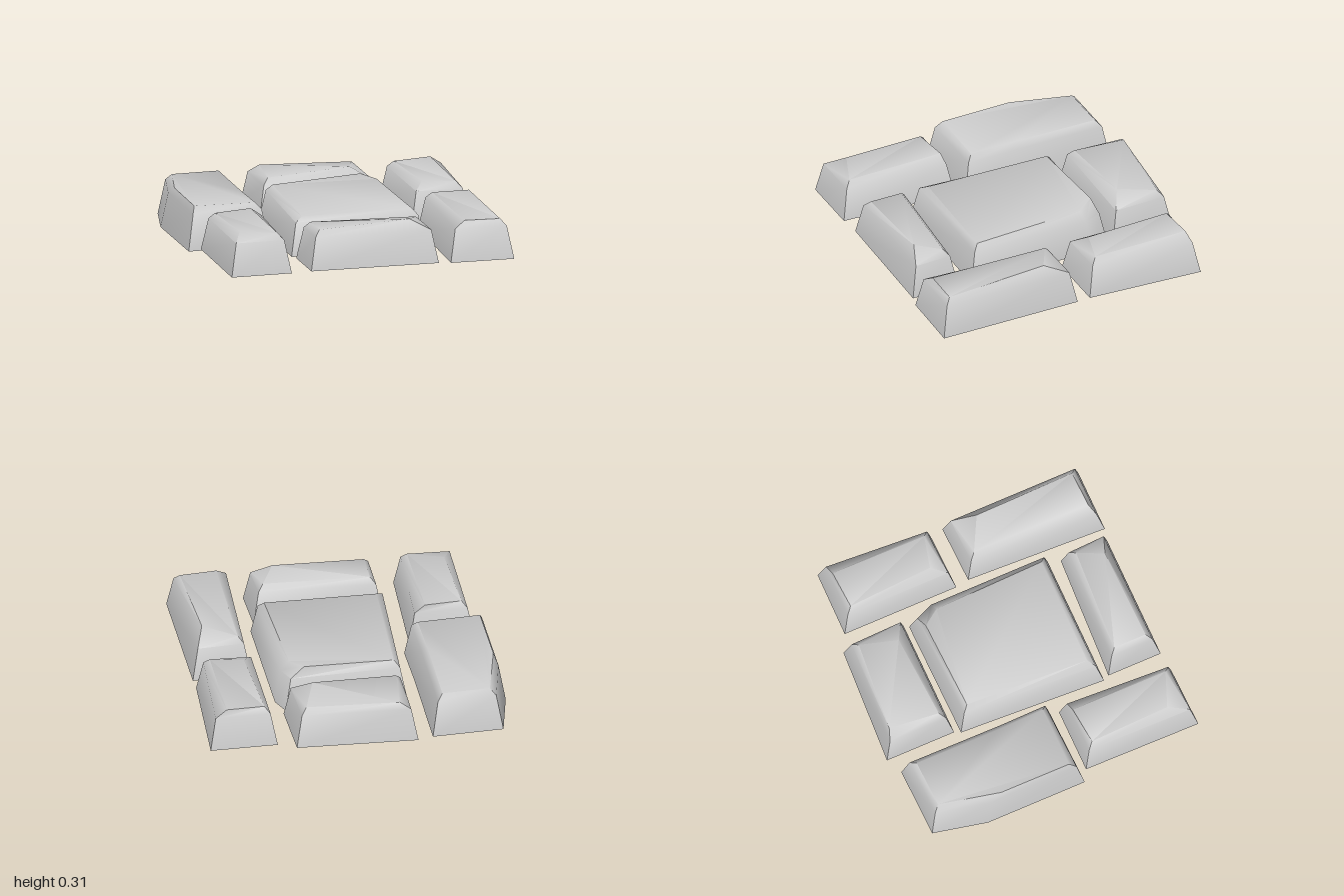
import * as THREE from 'three';
import { toCreasedNormals } from 'three/addons/utils/BufferGeometryUtils.js';

// Outline moved inwards by a distance and lifted to a height
function insetRing(outline, distance, y) {
  const box = new THREE.Box2().setFromPoints(outline.map(([x, z]) => new THREE.Vector2(x, z)));
  const centre = box.getCenter(new THREE.Vector2());
  return outline.map(([x, z]) => [
    x - Math.sign(x - centre.x) * distance, y, z - Math.sign(z - centre.y) * distance,
  ]);
}

// Stone skinned over a base, a shoulder and a top outline, closed at both ends.
// The outline runs back-left, back-right, front-right, front-left as [x, z].
// Peaks replace single top corners, keyed by corner number.
function makeStone(name, material, outline, peaks, floor = 0.02) {
  const n = outline.length;
  const base = insetRing(outline, 0, floor);
  const shoulder = insetRing(outline, 0.04, 0.235);
  const top = insetRing(outline, 0.075, 0.275).map((corner, i) => peaks[i] ?? corner);
  const index = [];
  for (let r = 0; r < 2; r++) {
    for (let i = 0; i < n; i++) {
      const a = r * n + i, b = r * n + (i + 1) % n;
      index.push(a, a + n, b, b, a + n, b + n);
    }
  }
  for (let i = 1; i < n - 1; i++) {
    index.push(0, i, i + 1);
    index.push(2 * n, 2 * n + i + 1, 2 * n + i);
  }
  const geometry = new THREE.BufferGeometry();
  geometry.setAttribute('position', new THREE.Float32BufferAttribute([base, shoulder, top].flat(2), 3));
  geometry.setIndex(index);
  const mesh = new THREE.Mesh(toCreasedNormals(geometry, THREE.MathUtils.degToRad(50)), material);
  mesh.name = name;
  return mesh;
}

export function createModel() {
  const group = new THREE.Group();
  group.name = 'pavingStones';
  const grey = new THREE.MeshStandardMaterial({ color: 0xcccccc });
  grey.name = 'stoneGrey';

  // Large middle stone with a clipped back corner
  group.add(makeStone('centreStone', grey,
    [[-0.37, -0.46], [0.43, -0.47], [0.48, -0.35], [0.48, 0.53], [-0.42, 0.53]],
    { 1: [0.3, 0.305, -0.41], 2: [0.38, 0.29, -0.3], 4: [-0.33, 0.265, 0.45] }));

  // Back row
  group.add(makeStone('backLeftStone', grey,
    [[-0.92, -0.91], [-0.455, -0.92], [-0.46, -0.2], [-0.455, 0.12], [-1, 0.135], [-1, -0.55]],
    { 4: [-0.94, 0.28, 0.05], 5: [-0.94, 0.285, -0.43] }, 0));
  group.add(makeStone('backStone', grey,
    [[-0.35, -0.975], [0.44, -0.93], [0.45, -0.5], [-0.35, -0.5]],
    { 0: [-0.24, 0.28, -0.91], 2: [0.28, 0.305, -0.61] }));
  group.add(makeStone('backRightStone', grey,
    [[0.555, -0.87], [0.995, -0.865], [0.95, -0.09], [0.555, -0.08]],
    { 1: [0.88, 0.285, -0.81], 3: [0.66, 0.28, -0.22] }));

  // Front row
  group.add(makeStone('frontRightStone', grey,
    [[0.57, 0.01], [0.955, 0], [0.955, 0.96], [0.53, 0.96]],
    { 1: [0.86, 0.305, 0.2], 3: [0.64, 0.28, 0.89] }));
  group.add(makeStone('frontStone', grey,
    [[-0.4, 0.57], [0.445, 0.61], [0.455, 0.94], [-0.4, 0.94]],
    { 2: [0.28, 0.305, 0.85] }));
  group.add(makeStone('frontLeftStone', grey,
    [[-0.93, 0.175], [-0.5, 0.175], [-0.535, 0.955], [-0.94, 0.965]],
    { 1: [-0.61, 0.285, 0.225], 3: [-0.84, 0.28, 0.79] }));
  return group;
}
